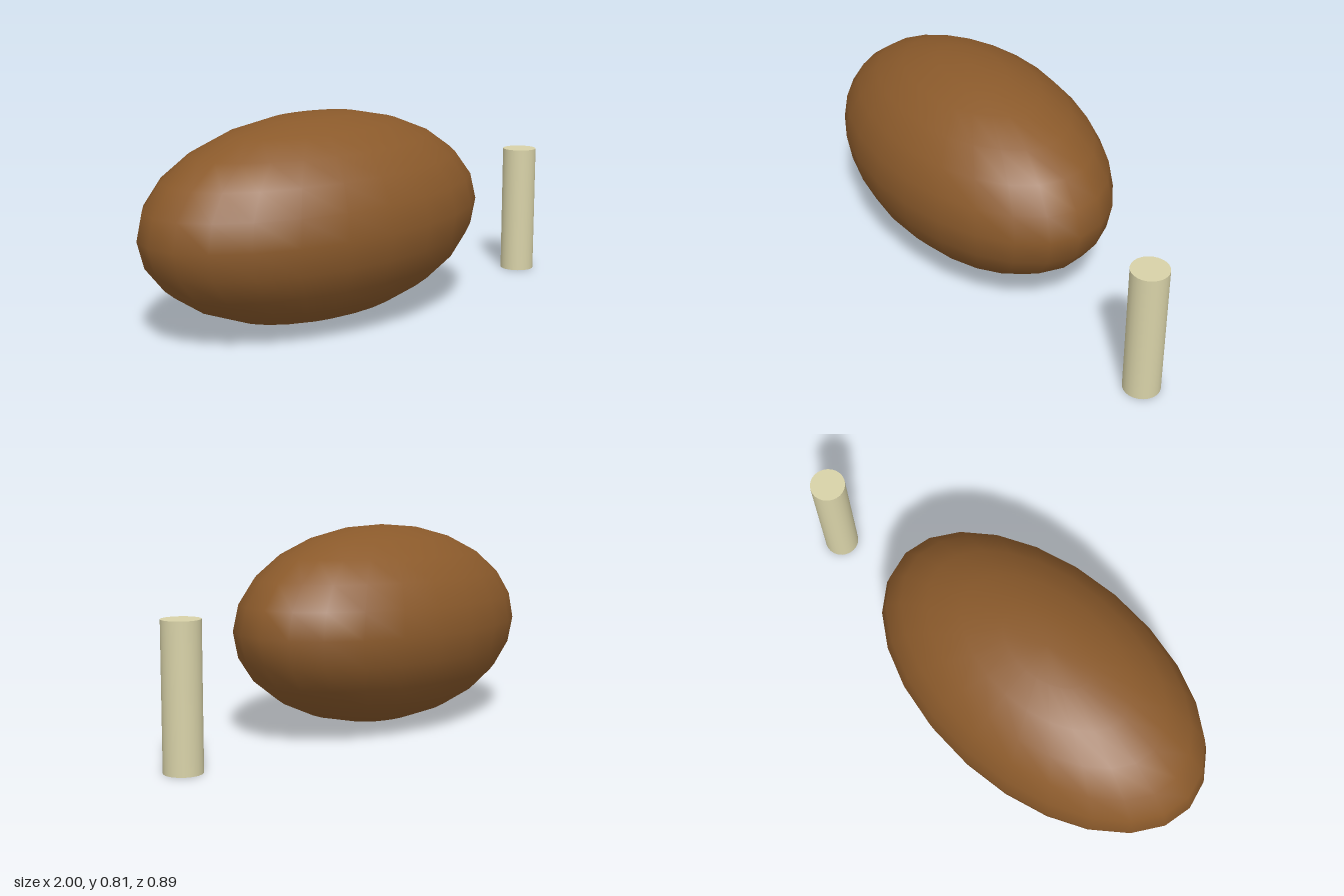
import * as THREE from 'three';

export function createModel() {
  const model = new THREE.Group();
  const brown = new THREE.MeshStandardMaterial({ name: 'brown', color: 0x8b5a2b });
  const cream = new THREE.MeshStandardMaterial({ name: 'cream', color: 0xd8d2a8 });

  // Long rounded body, tipped slightly up toward +x
  const body = new THREE.Mesh(new THREE.SphereGeometry(1, 24, 12), brown);
  body.name = 'body';
  body.scale.set(0.76, 0.402, 0.447);
  body.rotation.z = 0.02;
  body.position.set(-0.24, 0.405, 0);
  model.add(body);

  // Separate upright post
  const height = 0.54;
  const post = new THREE.Mesh(new THREE.CylinderGeometry(0.0715, 0.0715, height, 24), cream);
  post.name = 'post';
  post.position.set(0.9285, height / 2, 0);
  model.add(post);

  return model;
}
